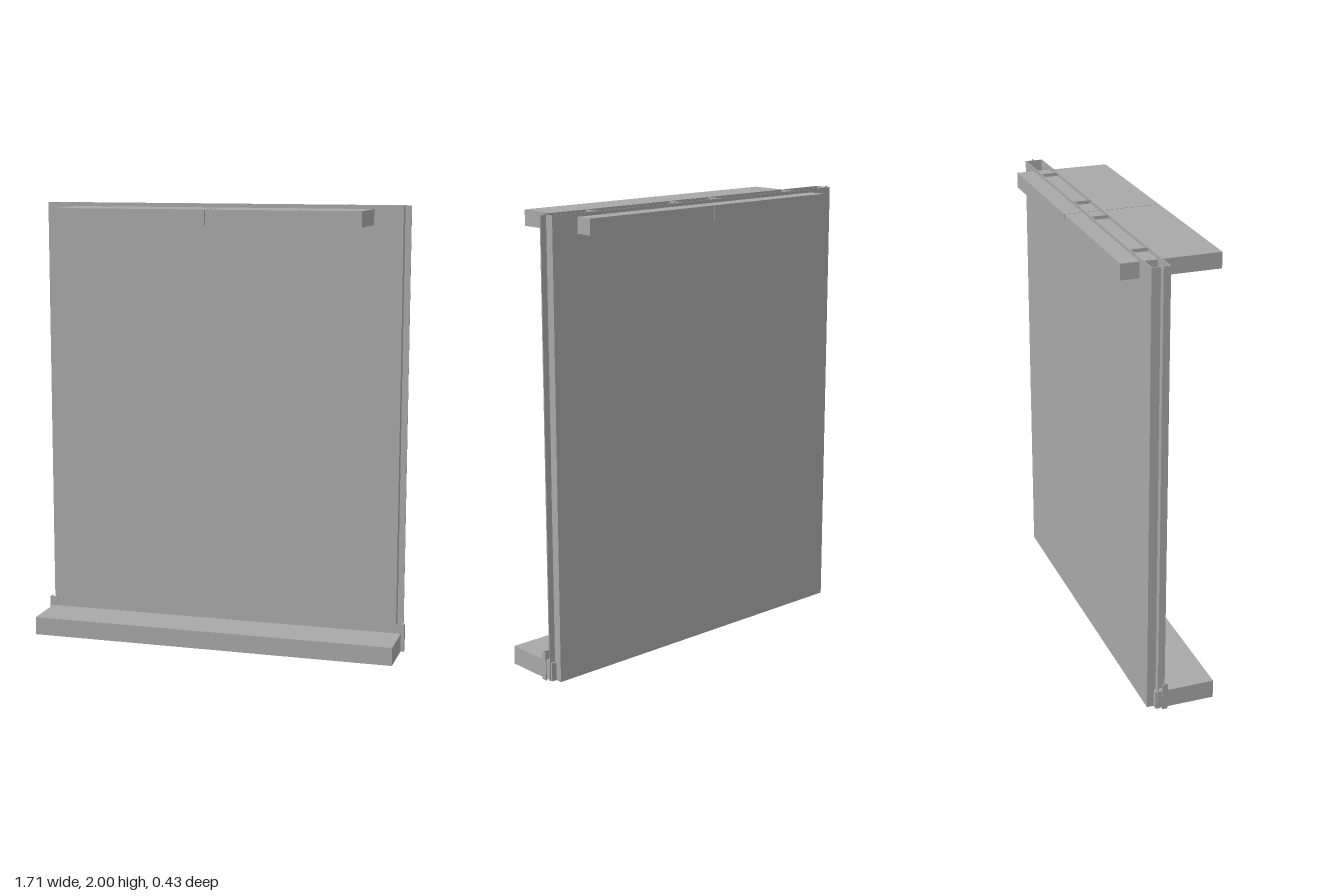
import * as THREE from 'three';

export function createModel() {
  const model = new THREE.Group();
  model.name = 'panelWithShelves';
  const grey = new THREE.MeshStandardMaterial({ color: 0xa8a8a8 });
  grey.name = 'plainGrey';

  // Box given by its lower and upper corner
  function box(name, [x0, y0, z0], [x1, y1, z1]) {
    const mesh = new THREE.Mesh(new THREE.BoxGeometry(x1 - x0, y1 - y0, z1 - z0), grey);
    mesh.position.set((x0 + x1) / 2, (y0 + y1) / 2, (z0 + z1) / 2);
    mesh.name = name;
    model.add(mesh);
  }

  const T = 0.004; // sheet thickness
  const W = 0.82, FRONT = -0.055, BACK = -0.136;

  // Hollow upright panel, open at the top
  box('frontSheet', [-W, 0, FRONT - T], [W, 2, FRONT]);
  box('backSheet', [-W, 0, BACK], [W, 2, BACK + T]);
  box('panelFloor', [-W, 0, BACK], [W, T, FRONT]);

  // Stiffening ribs between the sheets
  for (const x of [-0.58, -0.115, 0.115, 0.58])
    box('rib', [x - T / 2, 0, BACK + T], [x + T / 2, 2, FRONT - T]);

  // Foot ledge
  box('footLedge', [-0.843, 0, -0.105], [0.843, 0.083, 0.163]);

  for (const s of [-1, 1]) {
    // Mirrored box, given on the +x side
    const side = (name, x0, x1, y0, y1, z0, z1) =>
      box(name, [Math.min(s * x0, s * x1), y0, z0], [Math.max(s * x0, s * x1), y1, z1]);

    // Panel edge: closing wall and projecting flange
    side('sideWall', W - T, W, 0, 2, BACK, FRONT);
    side('sideFlange', W, 0.848, 0, 2, -0.097, -0.093);

    // Corner bracket at the foot
    side('bracketFace', 0.815, 0.857, 0, 0.125, FRONT - T, FRONT + 0.001);
    side('bracketSide', 0.857 - T, 0.857, 0, 0.125, -0.08, FRONT);

    // Half of the top shelf, passing through the panel
    side('topShelf', 0.002, 0.69, 1.916, 1.985, -0.216, 0.216);
  }
  return model;
}
